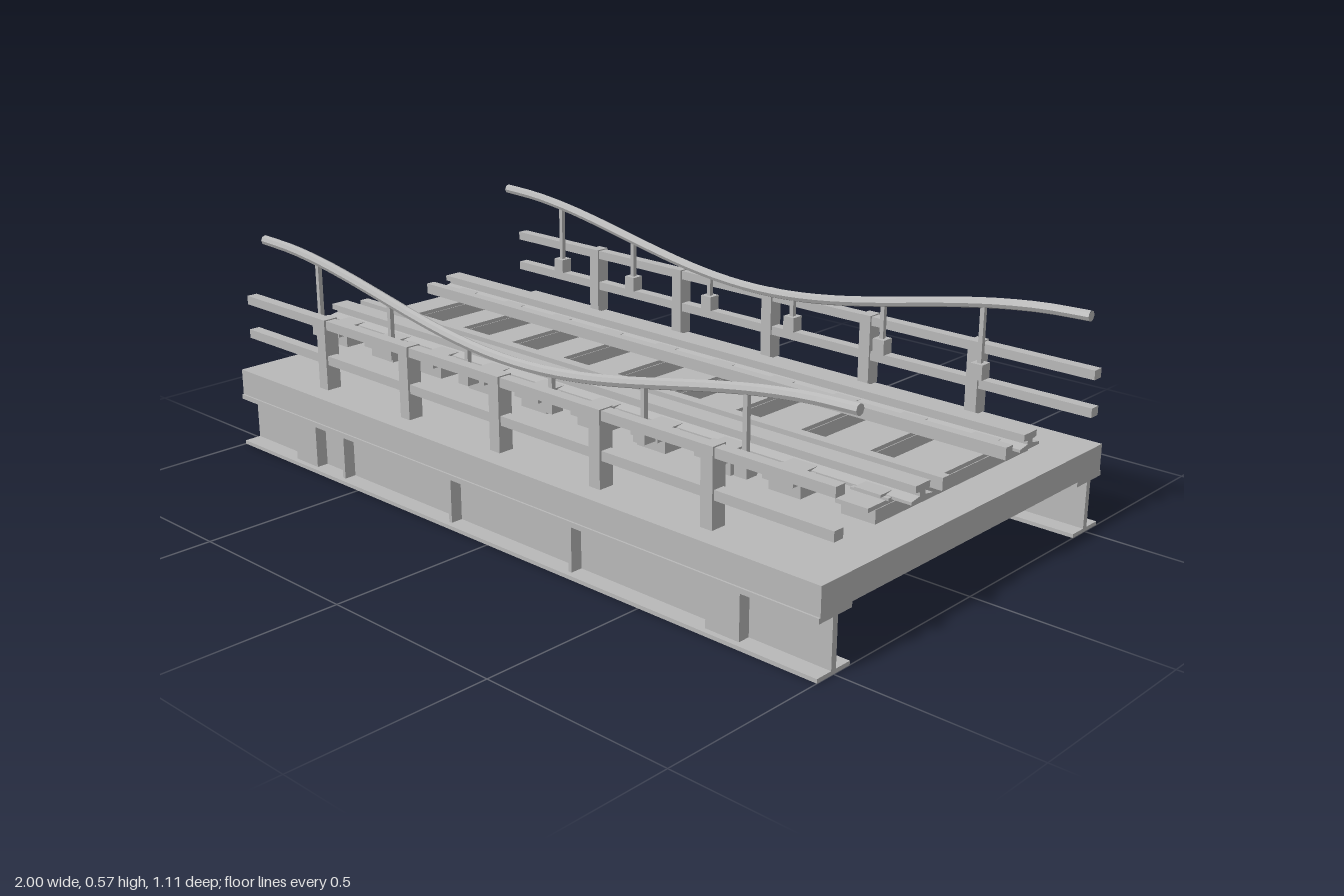
import * as THREE from 'three';

export function createModel() {
  const model = new THREE.Group();
  model.name = 'railwayBridgeSection';
  const steel = new THREE.MeshStandardMaterial({ color: 0xb8b8b8, flatShading: true });
  steel.name = 'plain grey';

  const add = (name, geometry, parent = model) => {
    const mesh = new THREE.Mesh(geometry, steel);
    mesh.name = name;
    parent.add(mesh);
    return mesh;
  };
  // Box given by its limits on each axis
  const box = (name, x0, x1, y0, y1, z0, z1, parent = model) => {
    const mesh = add(name, new THREE.BoxGeometry(x1 - x0, y1 - y0, z1 - z0), parent);
    mesh.position.set((x0 + x1) / 2, (y0 + y1) / 2, (z0 + z1) / 2);
    return mesh;
  };
  // Symmetric section of [half width, y] points, swept along the whole length
  const sweep = (name, half, z, parent) => {
    const points = [...half, ...half.slice().reverse().map(([w, y]) => [-w, y])];
    const shape = new THREE.Shape(points.map(([w, y]) => new THREE.Vector2(w, y)));
    const geometry = new THREE.ExtrudeGeometry(shape, { depth: 2, bevelEnabled: false });
    geometry.translate(0, 0, -1).rotateY(Math.PI / 2);
    add(name, geometry, parent).position.z = z;
  };

  // Deck and the two cross beams under it
  box('deck', -1, 1, 0.145, 0.215, -0.55, 0.55);
  for (const x of [-0.735, 0.735]) box('crossBeam', x - 0.045, x + 0.045, 0.01, 0.138, -0.54, 0.54);

  // Sleepers, top plates and rail chairs
  for (let i = 0; i < 10; i++) {
    const x = -0.9 + i * 0.2;
    const sleeper = new THREE.Group();
    sleeper.name = 'sleeper';
    model.add(sleeper);
    box('sleeperBody', x - 0.045, x + 0.045, 0.253, 0.286, -0.3, 0.3, sleeper);
    box('sleeperPlate', x - 0.043, x + 0.043, 0.286, 0.296, -0.325, 0.325, sleeper);
    for (const side of [-1, 1]) {
      box('railChair', x - 0.05, x + 0.05, 0.296, 0.302, side * 0.213 - 0.05, side * 0.213 + 0.05, sleeper);
      box('railClip', x - 0.035, x + 0.035, 0.302, 0.308, side * 0.213 - 0.057, side * 0.213 + 0.057, sleeper);
    }
  }

  // Wave curve of the handrail
  const waveY = x => 0.496 - 0.064 * Math.cos(Math.PI * x);
  const wave = z => new THREE.CatmullRomCurve3(
    Array.from({ length: 17 }, (_, i) => new THREE.Vector3(-1 + i / 8, waveY(-1 + i / 8), z)));

  for (const side of [-1, 1]) {
    const half = new THREE.Group();
    half.name = side > 0 ? 'frontSide' : 'backSide';
    model.add(half);
    const at = (name, x0, x1, y0, y1, z, depth) =>
      box(name, x0, x1, y0, y1, side * z - depth / 2, side * z + depth / 2, half);

    // Main girder with web stiffeners
    sweep('girder', [[0.055, 0], [0.055, 0.01], [0.008, 0.01], [0.008, 0.132],
      [0.055, 0.132], [0.055, 0.145]], side * 0.5, half);
    for (const x of [-0.575, -0.15, 0.27, 0.69]) at('stiffener', x - 0.005, x + 0.005, 0.01, 0.132, 0.5, 0.08);

    // Running rail and inner guard rail
    sweep('runningRail', [[0.04, 0.297], [0.04, 0.304], [0.01, 0.309], [0.01, 0.318],
      [0.026, 0.321], [0.026, 0.336]], side * 0.211, half);
    at('guardRail', -1, 1, 0.296, 0.326, 0.124, 0.027);

    // Fence posts and bars
    for (let i = -2; i <= 2; i++) at('fencePost', i / 3 - 0.017, i / 3 + 0.017, 0.23, 0.42, 0.5, 0.042);
    at('upperBar', -1, 1, 0.393, 0.417, 0.5, 0.03);
    at('lowerBar', -1, 1, 0.298, 0.322, 0.5, 0.03);

    // Curved handrail with end caps
    const z = side * 0.445;
    add('handrail', new THREE.TubeGeometry(wave(z), 40, 0.0135, 8), half);
    for (const end of [-1, 1]) {
      const cap = add('handrailCap', new THREE.CircleGeometry(0.0135, 8), half);
      cap.position.set(end, waveY(end), z);
      cap.rotation.y = end * Math.PI / 2;
    }

    // Hangers with weight blocks
    for (let i = 0; i < 6; i++) {
      const x = -0.765 + i * 0.295;
      at('hanger', x - 0.006, x + 0.006, 0.38, waveY(x), 0.445, 0.012);
      at('hangerBlock', x - 0.0175, x + 0.0175, 0.342, 0.382, 0.445, 0.035);
    }
  }
  return model;
}
